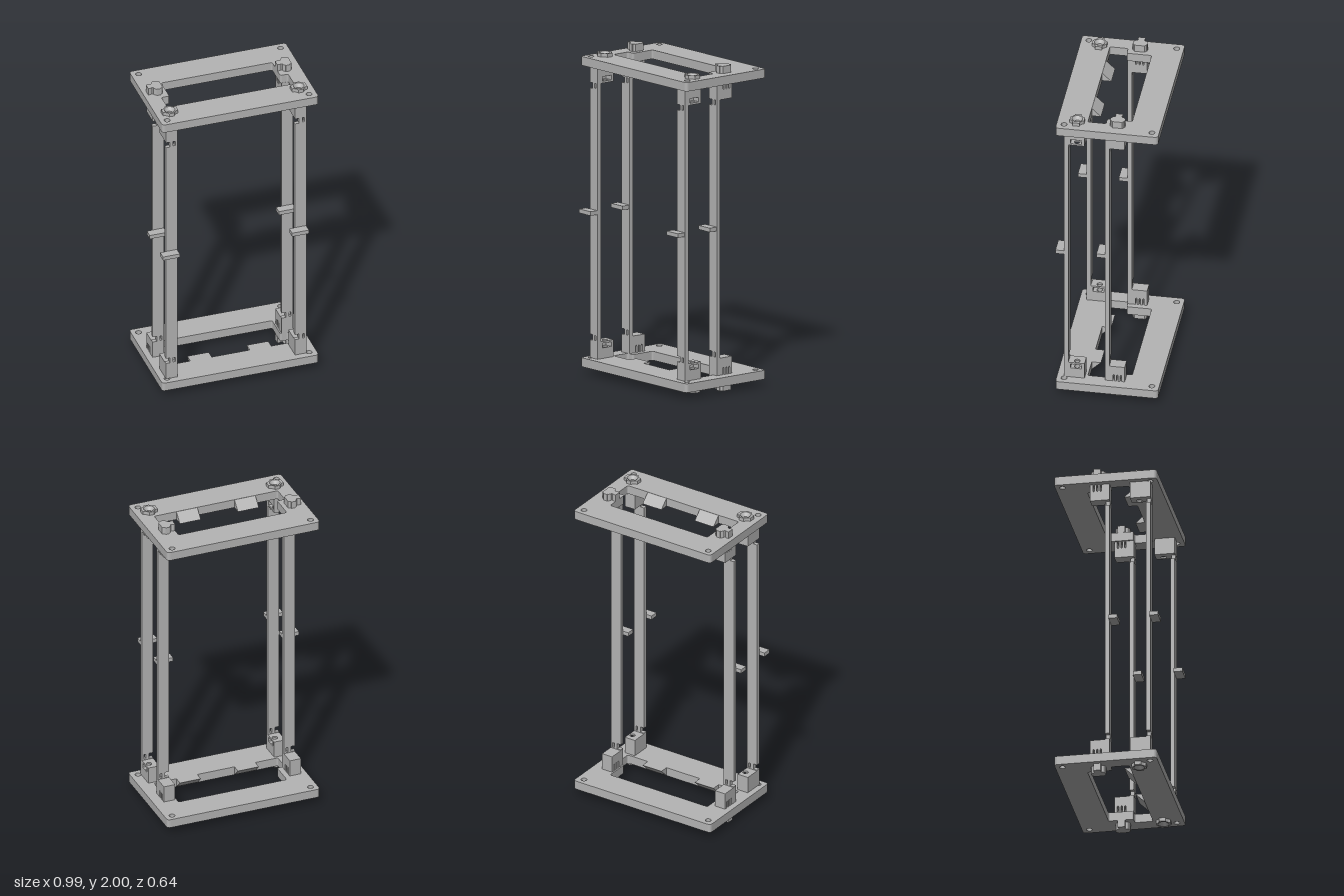
import * as THREE from 'three';

const metal = new THREE.MeshStandardMaterial({ color: 0xb4b4b4, side: THREE.DoubleSide });
metal.name = 'grey';

// Closed outline with optionally rounded corners
function outline(pts, r = 0, Kind = THREE.Shape) {
  const s = new Kind();
  const n = pts.length;
  pts.forEach((p, i) => {
    const c = new THREE.Vector2(...p);
    if (!r) return i ? s.lineTo(c.x, c.y) : s.moveTo(c.x, c.y);
    const toward = (q) => c.clone().add(new THREE.Vector2(...q).sub(c).setLength(r));
    const a = toward(pts[(i + n - 1) % n]);
    const b = toward(pts[(i + 1) % n]);
    if (i) s.lineTo(a.x, a.y); else s.moveTo(a.x, a.y);
    s.quadraticCurveTo(c.x, c.y, b.x, b.y);
  });
  s.closePath();
  return s;
}
const rect = (x0, y0, x1, y1) => [[x0, y0], [x1, y0], [x1, y1], [x0, y1]];
const flipZ = (pts) => pts.map(([x, z]) => [x, -z]);
function circle(x, z, r) {
  const p = new THREE.Path();
  p.absarc(x, -z, r, 0, Math.PI * 2, true);
  return p;
}

function add(group, name, geometry) {
  const mesh = new THREE.Mesh(geometry, metal);
  mesh.name = name;
  group.add(mesh);
  return mesh;
}
const extrude = (shape, depth) =>
  new THREE.ExtrudeGeometry(shape, { depth, bevelEnabled: false, curveSegments: 10 });
// Plan outline (x, z) raised from y0 to y1
function slab(pts, y0, y1, holes = [], r = 0) {
  const s = outline(flipZ(pts), r);
  s.holes.push(...holes);
  return extrude(s, y1 - y0).rotateX(-Math.PI / 2).translate(0, y0, 0);
}
// Side outline (z, y) running from x0 to x1
const sideSlab = (pts, x0, x1) =>
  extrude(outline(pts), x1 - x0).rotateY(-Math.PI / 2).translate(x1, 0, 0);

const SHIFT = 0.82;            // the left set repeats the right set
const BORE_X = -0.411, BORE_Z = 0.188, BORE_R = 0.017;
const X0 = -0.46, X1 = -0.387; // width of posts and brackets
const FRONT = 0.265, BACK = 0.015; // front faces of the two rows of posts

// Plate with a stepped window, corner holes and two wedge lips
function endPlate(group, top) {
  const Y = (a, b) => (top ? [2 - b, 2 - a] : [a, b]);
  const y = (v) => (top ? 2 - v : v);
  const holes = [];
  for (const x of [-0.452, 0.45]) for (const z of [-0.274, 0.262]) holes.push(circle(x, z, 0.018));
  for (const dx of [0, SHIFT]) holes.push(circle(BORE_X + dx, BORE_Z, BORE_R));
  holes.push(outline(flipZ([[-0.354, -0.138], [0.351, -0.138], [0.351, 0.014], [0.401, 0.014],
    [0.401, 0.125], [-0.404, 0.125], [-0.404, 0.014], [-0.354, 0.014]]), 0.012, THREE.Path));
  add(group, 'plate', slab(rect(-0.497, -0.318, 0.497, 0.308), ...Y(0.045, 0.1), holes, 0.022));
  for (const x of [-0.258, 0.12])
    add(group, 'wedgeLip', sideSlab([[0.126, y(0.1)], [0.069, y(0.1)], [0.126, y(0.045)]], x, x + 0.136));
}

// Brackets and fasteners at one end of a pair of posts
function endFittings(group, top) {
  const Y = (a, b) => (top ? [2 - b, 2 - a] : [a, b]);
  const y = (v) => (top ? 2 - v : v);
  const bore = () => [circle(BORE_X, BORE_Z, BORE_R)];

  // front bracket: bored block with a nut slot open towards the left
  const block = rect(X0, 0.14, X1, FRONT);
  add(group, 'frontBracketBase', slab(block, ...Y(0.1, 0.165), bore()));
  add(group, 'frontBracketSlot', slab([[X0, 0.14], [X1, 0.14], [X1, 0.157], [-0.438, 0.157],
    [-0.438, 0.226], [X1, 0.226], [X1, FRONT], [X0, FRONT]], ...Y(0.165, 0.193)));
  add(group, 'frontBracketCap', slab(block, ...Y(0.193, 0.205), bore()));

  // back bracket with spring slits
  const profile = [[-0.105, 0.1]];
  for (const z of [-0.082, -0.06, -0.038])
    profile.push([z - 0.005, 0.1], [z - 0.005, 0.14], [z, 0.146], [z + 0.005, 0.14], [z + 0.005, 0.1]);
  profile.push([BACK, 0.1], [BACK, 0.205], [-0.105, 0.205]);
  add(group, 'backBracket', sideSlab(profile.map(([z, h]) => [z, y(h)]), X0, X1));

  // front fastener: lobed collar around a countersunk bore
  const quarter = [[0.048, -0.02], [0.048, 0.02], [0.036, 0.022], [0.022, 0.034], [0.016, 0.044]];
  const collar = [];
  for (const [sx, sz] of [[1, 1], [-1, 1], [-1, -1], [1, -1]]) {
    const pts = quarter.slice(1).map(([a, b]) => [BORE_X + sx * a, BORE_Z + sz * b]);
    collar.push(...(sx * sz > 0 ? pts : pts.reverse()));
  }
  add(group, 'frontCollar', slab(collar, ...Y(0.023, 0.045), [circle(BORE_X, BORE_Z, 0.033)]));
  const [rTop, rBottom] = top ? [0.033, BORE_R] : [BORE_R, 0.033];
  add(group, 'countersink', new THREE.CylinderGeometry(rTop, rBottom, 0.022, 24, 1, true))
    .position.set(BORE_X, y(0.034), BORE_Z);

  // back fastener: notched body with a curved neck to its right
  const half = [[-0.47, 0.022], [-0.455, 0.022], [-0.446, 0.018], [-0.438, 0.021], [-0.436, 0.03],
    [-0.43, 0.038], [-0.424, 0.04], [-0.424, 0.045], [-0.398, 0.045], [-0.398, 0.04], [-0.392, 0.038],
    [-0.382, 0.03], [-0.382, 0.008]];
  const clip = half.map(([x, z]) => [x, -0.06 + z])
    .concat(half.map(([x, z]) => [x, -0.06 - z]).reverse());
  add(group, 'backClip', slab(clip, ...Y(0, 0.045)));
}

// Flat post, necked near both ends, with a tab halfway up
function post(group, name, zFront) {
  const N = -0.434;
  const s = outline([[X0, 0.1], [X1, 0.1], [X1, 1.9], [X0, 1.9], [X0, 1.795], [N, 1.795],
    [N, 1.76], [X0, 1.76], [X0, 0.245], [N, 0.245], [N, 0.21], [X0, 0.21]]);
  for (const h of [0.212, 1.765])
    s.holes.push(outline(rect(-0.414, h, -0.4, h + 0.03), 0, THREE.Path));
  add(group, name + 'Post', extrude(s, 0.026).translate(0, 0, zFront - 0.026));
  add(group, name + 'Tab', new THREE.BoxGeometry(0.107, 0.025, 0.053))
    .position.set(-0.443, 1.003, zFront + 0.0265);
}

export function createModel() {
  const model = new THREE.Group();
  model.name = 'frame';

  for (const top of [false, true]) {
    const end = new THREE.Group();
    end.name = top ? 'topPlate' : 'bottomPlate';
    endPlate(end, top);
    model.add(end);
  }

  for (const side of ['right', 'left']) {
    const set = new THREE.Group();
    set.name = side + 'Posts';
    post(set, 'front', FRONT);
    post(set, 'back', BACK);
    endFittings(set, false);
    endFittings(set, true);
    set.position.x = side === 'left' ? SHIFT : 0;
    model.add(set);
  }
  return model;
}
